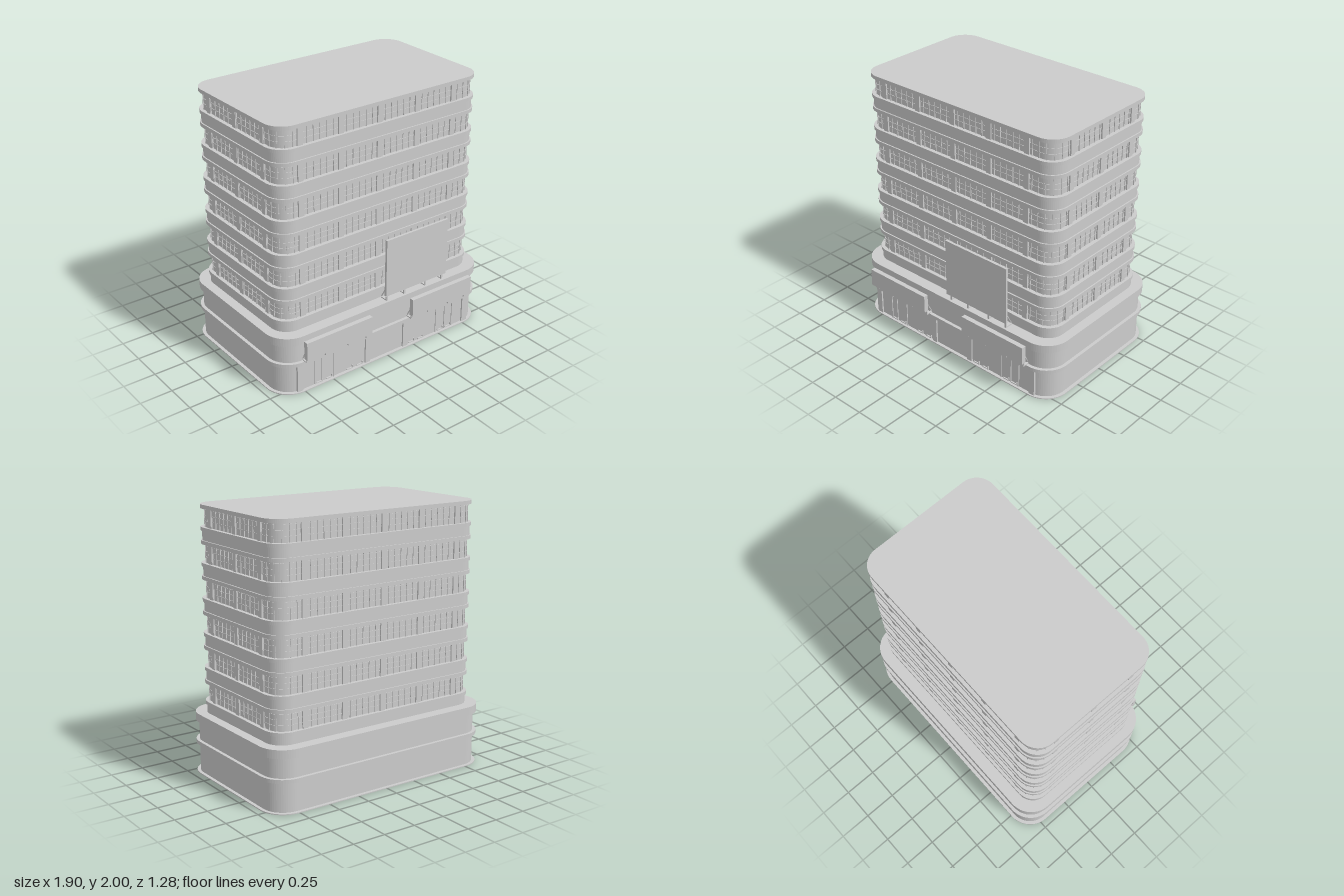
import * as THREE from 'three';
import { mergeGeometries } from 'three/addons/utils/BufferGeometryUtils.js';

const grey = new THREE.MeshStandardMaterial({ color: 0xcccccc, flatShading: true });
const BASE = { hx: 0.95, hz: 0.609, r: 0.19 };
const TOWER = { hx: 0.888, hz: 0.53, r: 0.145 };
const CZ = -0.032; // centre of the building in z

// Rounded rectangle, shrunk evenly by inset
function outline({ hx, hz, r }, inset, Kind = THREE.Shape) {
  const x = hx - inset, y = hz - inset, c = r - inset;
  const s = new Kind();
  s.moveTo(-x + c, -y);
  s.lineTo(x - c, -y);
  s.absarc(x - c, -y + c, c, -Math.PI / 2, 0);
  s.lineTo(x, y - c);
  s.absarc(x - c, y - c, c, 0, Math.PI / 2);
  s.lineTo(-x + c, y);
  s.absarc(-x + c, y - c, c, Math.PI / 2, Math.PI);
  s.lineTo(-x, -y + c);
  s.absarc(-x + c, -y + c, c, Math.PI, Math.PI * 1.5);
  return s;
}

// Horizontal slab between two heights, optionally hollow
function slab(plan, inset, y0, y1, holeInset) {
  const s = outline(plan, inset);
  if (holeInset !== undefined) s.holes.push(outline(plan, holeInset, THREE.Path));
  const g = new THREE.ExtrudeGeometry(s, { depth: y1 - y0, bevelEnabled: false, curveSegments: 8 });
  return g.rotateX(-Math.PI / 2).translate(0, y0, CZ);
}

// Box given by its limits
function box(x0, x1, y0, y1, z0, z1) {
  return new THREE.BoxGeometry(x1 - x0, y1 - y0, z1 - z0)
    .translate((x0 + x1) / 2, (y0 + y1) / 2, (z0 + z1) / 2);
}

function add(parent, name, geometries) {
  const clean = geometries.map(g => (g.index ? g.toNonIndexed() : g));
  const mesh = new THREE.Mesh(mergeGeometries(clean), grey);
  mesh.name = name;
  parent.add(mesh);
}

// Sign panel on four triangular brackets
function signBoard(name, cx, y0, y1, z0, z1, foot, wall, top) {
  const group = new THREE.Group();
  group.name = name;
  add(group, 'panel', [box(cx - 0.287, cx + 0.287, y0, y1, z0, z1)]);
  const parts = [];
  const w = 0.007, run = z0 - wall, rise = top - foot - 0.01;
  for (const dx of [-0.262, -0.097, 0.103, 0.266]) {
    const x = cx + dx;
    parts.push(box(x - w, x + w, foot, top, z0 - 0.008, z0));
    parts.push(box(x - w, x + w, foot, foot + 0.008, wall, z0));
    parts.push(new THREE.BoxGeometry(w, Math.hypot(run, rise), 0.005)
      .rotateX(Math.atan2(run, rise))
      .translate(x, foot + 0.01 + rise / 2, wall + run / 2));
  }
  add(group, 'brackets', parts);
  return group;
}

export function createModel() {
  const model = new THREE.Group();

  // Hollow podium, open below
  const podium = new THREE.Group();
  podium.name = 'podium';
  model.add(podium);
  add(podium, 'podiumWalls', [slab(BASE, 0.025, 0.006, 0.44, 0.065)]);
  add(podium, 'podiumLedges', [
    slab(BASE, 0, 0, 0.007, 0.065),
    slab(BASE, 0, 0.225, 0.253, 0.06),
    slab(BASE, 0, 0.402, 0.44, 0.06),
  ]);
  add(podium, 'podiumRoof', [slab(BASE, 0, 0.44, 0.465)]);

  // Shop front: pilasters, window bars, door sills
  const front = 0.552;
  add(podium, 'shopPilasters', [[-0.805, -0.757], [-0.2, -0.16], [0.155, 0.2], [0.75, 0.8]]
    .map(([a, b]) => box(a, b, 0.006, 0.222, front - 0.03, front + 0.012)));
  add(podium, 'shopWindowHeads', [[-0.757, -0.2], [0.2, 0.75]]
    .map(([a, b]) => box(a, b, 0.21, 0.222, front - 0.01, front + 0.008)));
  add(podium, 'shopWindowBars', [-0.65, -0.593, -0.487, 0.487, 0.575, 0.65]
    .map(x => box(x - 0.004, x + 0.004, 0.006, 0.212, front - 0.05, front + 0.007)));
  add(podium, 'doorSills', [-0.615, -0.527, -0.342, -0.25, 0.245, 0.333, 0.533, 0.612].flatMap(x => [
    box(x - 0.027, x + 0.027, 0.012, 0.019, front - 0.01, front + 0.01),
    box(x + 0.021, x + 0.027, 0.012, 0.036, front - 0.01, front + 0.01),
  ]));

  // Tower: glazed core with spandrel bands and ledges
  const tower = new THREE.Group();
  tower.name = 'tower';
  model.add(tower);
  const glassInset = 0.03;
  add(tower, 'glazing', [slab(TOWER, glassInset, 0.465, 1.98)]);
  const spandrels = [slab(TOWER, 0.01, 0.465, 0.53)];
  const ledges = [slab(TOWER, 0, 0.53, 0.556)];
  const transoms = [];
  const floor = 0.2567;
  for (let i = 0; i < 6; i++) {
    const y = 0.556 + i * floor; // window sill height
    for (const dy of [0.04, 0.08, 0.118]) {
      transoms.push(slab(TOWER, glassInset - 0.004, y + dy, y + dy + 0.004, glassInset + 0.01));
    }
    if (i === 5) break;
    ledges.push(slab(TOWER, 0, y + 0.135, y + 0.162));
    spandrels.push(slab(TOWER, 0.01, y + 0.162, y + 0.231));
    ledges.push(slab(TOWER, 0, y + 0.231, y + floor));
  }
  add(tower, 'spandrels', spandrels);
  add(tower, 'ledges', ledges);
  add(tower, 'windowTransoms', transoms);
  add(tower, 'roof', [slab(TOWER, 0, 1.972, 2)]);

  // Thin mullions set evenly around the glazing
  const pts = outline(TOWER, glassInset).getSpacedPoints(96);
  add(tower, 'mullions', pts.slice(0, -1).map((p, i) => {
    const next = pts[i + 1], prev = pts[(i + 95) % 96];
    const angle = Math.atan2(next.y - prev.y, next.x - prev.x);
    return new THREE.BoxGeometry(0.006, 1.48, 0.012).rotateY(angle).translate(p.x, 1.235, CZ - p.y);
  }));

  // Broad columns on all four sides
  const columns = [];
  const cx = TOWER.hx - 0.018, cz = TOWER.hz - 0.018;
  for (const s of [-1, 1]) {
    for (let i = 0; i < 5; i++) {
      const x = -0.69 + i * 0.331;
      columns.push(new THREE.BoxGeometry(0.043, 1.5, 0.03).translate(x, 1.235, CZ + s * (cz - 0.015)));
    }
    for (const z of [0.295, -0.035, -0.36]) {
      columns.push(new THREE.BoxGeometry(0.03, 1.5, 0.04).translate(s * (cx - 0.015), 1.235, z));
    }
  }
  add(tower, 'columns', columns);

  // Billboard on the podium roof and two shop signs
  model.add(signBoard('billboard', 0.26, 0.515, 0.97, 0.558, 0.577, 0.465, 0.495, 0.59));
  model.add(signBoard('leftShopSign', 0.465, 0.3, 0.44, 0.604, 0.64, 0.255, 0.55, 0.37));
  model.add(signBoard('rightShopSign', -0.487, 0.3, 0.44, 0.604, 0.64, 0.255, 0.55, 0.37));
  return model;
}
